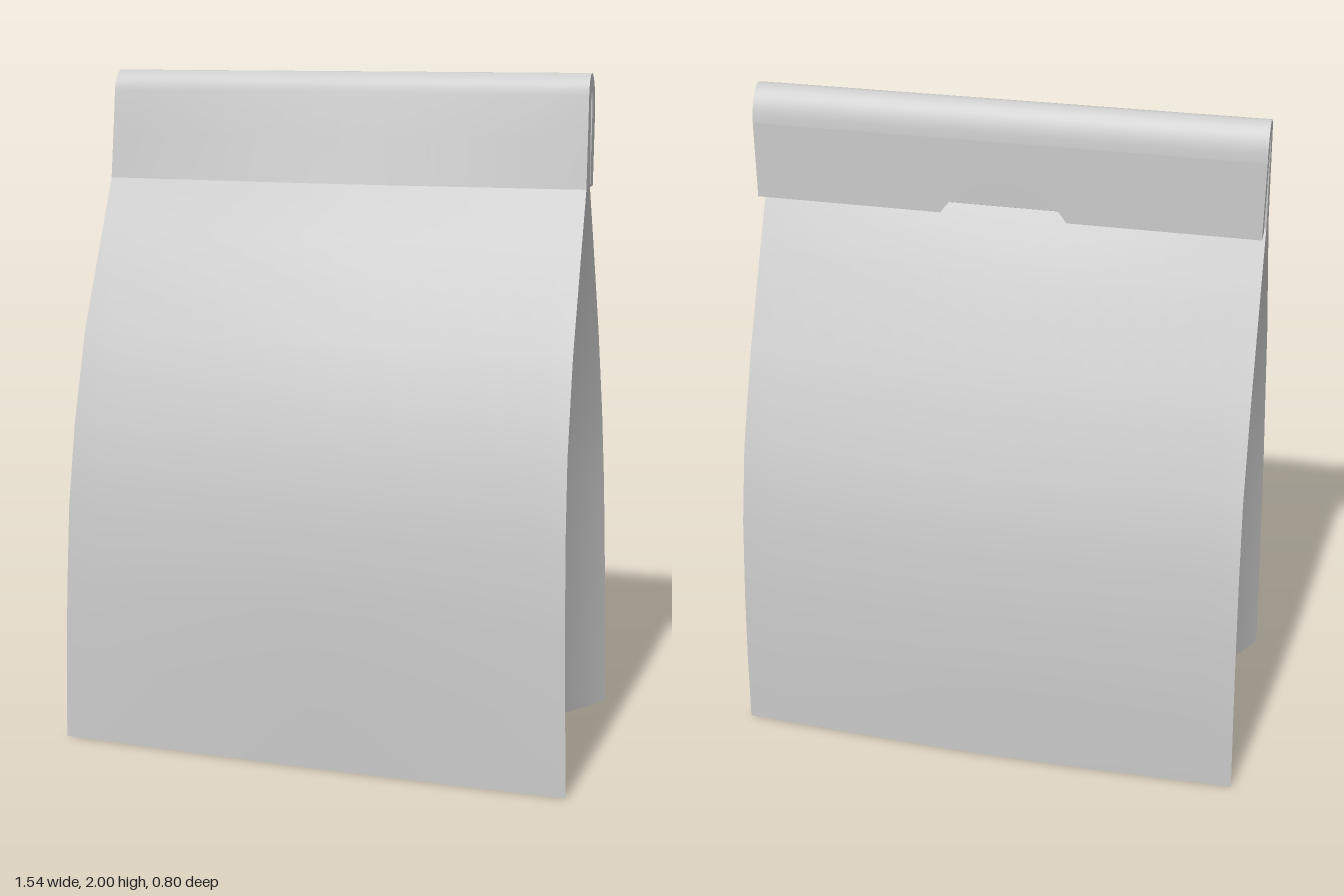
import * as THREE from 'three';
import { toCreasedNormals } from 'three/addons/utils/BufferGeometryUtils.js';

const material = new THREE.MeshStandardMaterial({ color: 0xcccccc, side: THREE.DoubleSide });

// height, front edge z, front middle z, back edge z, back middle z
const LEVELS = [
  [0.00, 0.385, 0.395, -0.375, -0.395],
  [0.25, 0.385, 0.400, -0.380, -0.400],
  [0.48, 0.380, 0.402, -0.375, -0.400],
  [0.73, 0.365, 0.395, -0.360, -0.380],
  [0.97, 0.325, 0.350, -0.320, -0.340],
  [1.24, 0.245, 0.275, -0.225, -0.238],
  [1.52, 0.115, 0.135, -0.100, -0.120],
  [1.68, 0.040, 0.065, -0.025, -0.026],
];
const COLUMNS = 16;
const NECK_Y = 1.68;

// half width of the bag at a height
const halfWidth = (y) => (y < 1 ? 0.77 - 0.033 * y : 0.737 - 0.019 * (y - 1));
// how far a panel swells between its edges, u from -1 to 1
const swell = (u) => 1 - Math.abs(u) ** 1.5;

// surface through rows of points: rows run upwards, columns left to right seen from outside
function surface(rows) {
  const n = rows[0].length;
  const index = [];
  for (let i = 0; i < rows.length - 1; i++) {
    for (let j = 0; j < n - 1; j++) {
      const a = i * n + j;
      index.push(a, a + 1, a + n, a + 1, a + n + 1, a + n);
    }
  }
  const geometry = new THREE.BufferGeometry();
  geometry.setAttribute('position', new THREE.Float32BufferAttribute(rows.flat(2), 3));
  geometry.setIndex(index);
  geometry.computeVertexNormals();
  return geometry;
}

// one row of a front (side 1) or back (side -1) panel
function panelRow([y, frontEdge, frontMid, backEdge, backMid], side) {
  const edge = side > 0 ? frontEdge : backEdge;
  const mid = side > 0 ? frontMid : backMid;
  return Array.from({ length: COLUMNS + 1 }, (_, j) => {
    const u = side * ((2 * j) / COLUMNS - 1);
    return [u * halfWidth(y), y, edge + (mid - edge) * swell(u)];
  });
}

// one row of a side gusset, folded inwards and closing towards the neck
function gussetRow([y, front, , back], side) {
  const x = halfWidth(y);
  const depth = y === NECK_Y ? 0 : (0.185 * (front - back)) / 0.76;
  const foldY = y === 0 ? 0.045 : y;
  const foldZ = y === 0 ? 0.005 : (front + back) / 2;
  const row = [[side * x, y, front], [side * (x - depth), foldY, foldZ], [side * x, y, back]];
  return side > 0 ? row : row.reverse();
}

// base, raised a little along its middle fold
function baseGeometry() {
  const front = panelRow(LEVELS[0], 1);
  const back = panelRow(LEVELS[0], -1).reverse();
  const fold = front.map(([x]) => [(x * 0.585) / 0.77, 0.045, 0.005]);
  return surface([back, fold, front]);
}

// neck and rolled top: hook profile drawn in z and y, swept across the width
function neckGeometry() {
  const shape = new THREE.Shape();
  shape.moveTo(0.04, NECK_Y);
  shape.lineTo(0.022, 1.82);
  shape.lineTo(0.008, 1.94);
  shape.bezierCurveTo(0.002, 1.985, -0.025, 2, -0.045, 2);
  shape.bezierCurveTo(-0.07, 2, -0.105, 1.965, -0.105, 1.9);
  shape.lineTo(-0.055, 1.9);
  shape.bezierCurveTo(-0.055, 1.97, -0.029, 1.97, -0.029, 1.92);
  shape.lineTo(-0.025, NECK_Y);
  const geometry = new THREE.ExtrudeGeometry(shape, {
    depth: 2, steps: COLUMNS, bevelEnabled: false, curveSegments: 8,
  });
  geometry.translate(0, 0, -1).rotateY(-Math.PI / 2);
  const p = geometry.attributes.position;
  for (let i = 0; i < p.count; i++) {
    const u = p.getX(i), y = p.getY(i), z = p.getZ(i);
    // the front swells to meet the panel below, fading out at the roll
    const fade = z > 0 ? Math.max(0, (1.95 - y) / (1.95 - NECK_Y)) : 0;
    p.setXYZ(i, u * halfWidth(y), y, z + 0.025 * fade * swell(u));
  }
  return toCreasedNormals(geometry, 0.6);
}

// flap hanging behind the neck, with a thumb notch in its lower edge
function flapGeometry() {
  const w = 0.72;
  const shape = new THREE.Shape();
  shape.moveTo(-w, NECK_Y);
  shape.lineTo(-0.18, NECK_Y);
  shape.absarc(0, 1.568, 0.212, Math.PI / 2 + 1.015, Math.PI / 2 - 1.015, true);
  shape.lineTo(w, NECK_Y);
  shape.lineTo(w, 1.9);
  shape.lineTo(-w, 1.9);
  const geometry = new THREE.ExtrudeGeometry(shape, { depth: 0.05, bevelEnabled: false, curveSegments: 16 });
  geometry.translate(0, 0, -0.105);
  return toCreasedNormals(geometry, 0.6);
}

export function createModel() {
  const bag = new THREE.Group();
  bag.name = 'paperBag';
  const add = (name, geometry) => {
    const mesh = new THREE.Mesh(geometry, material);
    mesh.name = name;
    bag.add(mesh);
  };
  add('frontPanel', surface(LEVELS.map((level) => panelRow(level, 1))));
  add('backPanel', surface(LEVELS.map((level) => panelRow(level, -1))));
  add('leftGusset', surface(LEVELS.map((level) => gussetRow(level, 1))));
  add('rightGusset', surface(LEVELS.map((level) => gussetRow(level, -1))));
  add('base', baseGeometry());
  add('neckAndRolledTop', neckGeometry());
  add('foldedFlap', flapGeometry());
  return bag;
}
